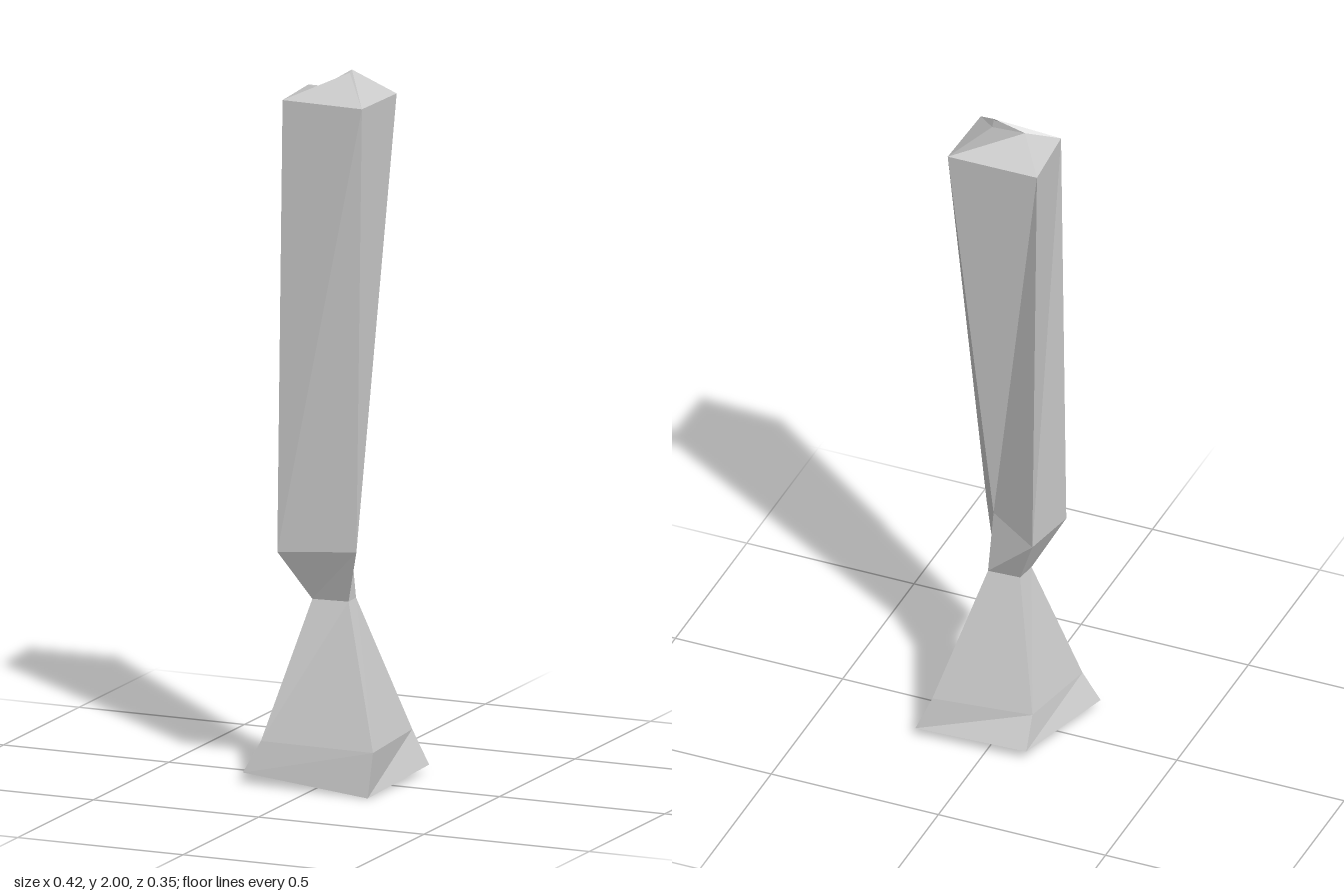
import * as THREE from 'three';

// Each ring holds four corners: front -x, front +x, back +x, back -x.
const foot = [[-0.21, 0.03, 0.145], [0.18, 0, 0.172], [0.208, 0.025, -0.174], [-0.12, 0.03, -0.165]];
const plinth = [[-0.163, 0.12, 0.128], [0.187, 0.125, 0.152], [0.165, 0.125, -0.156], [-0.117, 0.12, -0.115]];
const neck = [[-0.055, 0.51, 0.024], [0.05, 0.51, 0.014], [0.048, 0.51, -0.04], [-0.046, 0.51, -0.035]];
const shoulder = [[-0.13, 0.65, 0.092], [0.098, 0.665, 0.067], [0.042, 0.69, -0.015], [-0.105, 0.66, -0.088]];
const crown = [[-0.119, 1.925, 0.081], [0.126, 1.925, 0.092], [0.133, 1.925, -0.123], [-0.133, 1.925, -0.121]];
const peak = [[-0.035, 1.955, 0.025], [0.045, 2, -0.005], [0.034, 2, -0.043], [-0.035, 1.955, 0.025]];

// Flat-shaded walls between two rings, with an optional closed underside
function loft(name, low, high, closeBottom = false) {
  const positions = [];
  const tri = (a, b, c) => {
    const area = new THREE.Triangle(...[a, b, c].map(p => new THREE.Vector3(...p))).getArea();
    if (area > 1e-7) positions.push(...a, ...b, ...c);
  };
  for (let i = 0; i < 4; i++) {
    const j = (i + 1) % 4;
    tri(low[i], low[j], high[j]);
    tri(low[i], high[j], high[i]);
  }
  if (closeBottom) {
    tri(low[0], low[3], low[2]);
    tri(low[0], low[2], low[1]);
  }
  const geometry = new THREE.BufferGeometry();
  geometry.setAttribute('position', new THREE.Float32BufferAttribute(positions, 3));
  geometry.computeVertexNormals();
  const material = new THREE.MeshStandardMaterial({
    color: 0xcccccc, flatShading: true, side: THREE.DoubleSide,
  });
  const mesh = new THREE.Mesh(geometry, material);
  mesh.name = name;
  return mesh;
}

export function createModel() {
  const group = new THREE.Group();
  group.name = 'stonePillar';
  group.add(
    loft('baseFlare', foot, plinth, true),
    loft('taperedBase', plinth, neck),
    loft('neckFlare', neck, shoulder),
    loft('shaft', shoulder, crown),
    loft('brokenCap', crown, peak), // left open at the tip
  );
  return group;
}
